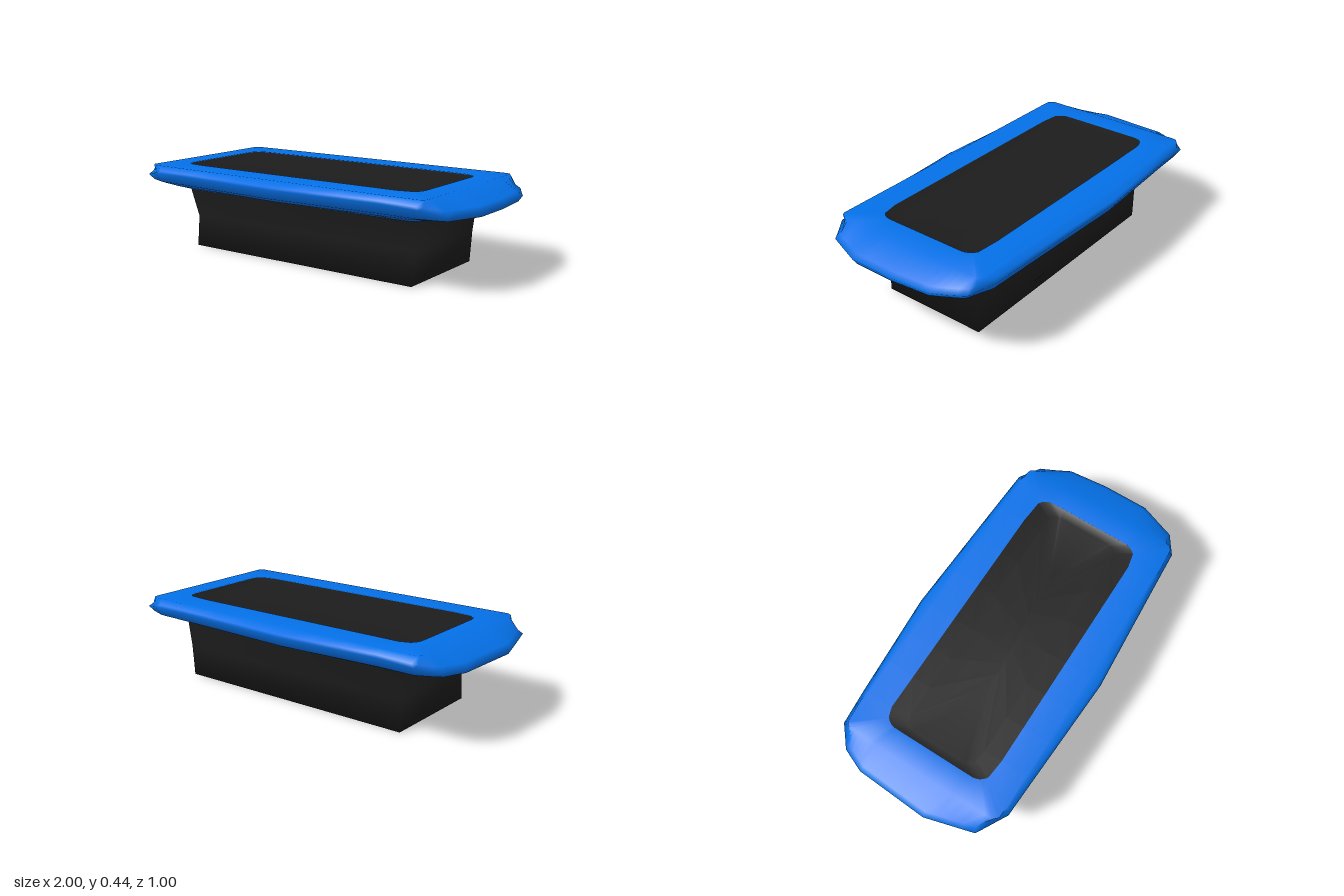
import * as THREE from 'three';

// Skin a stack of closed rings; rings run from the underside outwards and up
function loft(rings) {
  const n = rings[0].length, pos = [], idx = [];
  rings.forEach(r => r.forEach(p => pos.push(...p)));
  for (let k = 0; k < rings.length - 1; k++) {
    for (let i = 0; i < n; i++) {
      const j = (i + 1) % n, a = k * n + i, b = k * n + j;
      idx.push(a, a + n, b, b, a + n, b + n);
    }
  }
  const g = new THREE.BufferGeometry();
  g.setAttribute('position', new THREE.Float32BufferAttribute(pos, 3));
  g.setIndex(idx);
  g.computeVertexNormals();
  return g;
}

// Irregular outer outline (x, z), seen from above
const corners = [
  [-0.83, -0.46], [-0.1, -0.505], [0.78, -0.47], [0.9, -0.41], [0.98, -0.26],
  [1, -0.05], [1, 0.19], [0.93, 0.38], [0.82, 0.45], [0, 0.5],
  [-0.78, 0.46], [-0.93, 0.37], [-1, 0.12], [-0.98, -0.26], [-0.93, -0.38],
];
const STEPS = 4;
const outline = corners.flatMap(([x, z], i) => {
  const [u, v] = corners[(i + 1) % corners.length];
  return Array.from({ length: STEPS }, (_, s) => [x + (u - x) * s / STEPS, z + (v - z) * s / STEPS]);
});

// Rings derived from the outline: scaled, or pulled in to a rounded rectangle
const scaled = (sx, sz, ySide, yEnd) => outline.map(([x, z]) => {
  const t = THREE.MathUtils.smoothstep(Math.abs(x), 0.75, 0.95);
  return [x * sx, ySide + (yEnd - ySide) * t, z * sz];
});
const roundRect = (w, d, r, y) => outline.map(([x, z]) => {
  const cx = THREE.MathUtils.clamp(x, r - w, w - r), cz = THREE.MathUtils.clamp(z, r - d, d - r);
  const l = Math.hypot(x - cx, z - cz) || 1;
  return [cx + (x - cx) / l * r, y, cz + (z - cz) / l * r];
});

export function createModel() {
  const blue = new THREE.MeshStandardMaterial({ color: 0x0470e7 });
  blue.name = 'blue';
  const black = new THREE.MeshStandardMaterial({ color: 0x1c1c1c });
  black.name = 'black';
  const group = new THREE.Group();
  const add = (name, geometry, material) => {
    const mesh = new THREE.Mesh(geometry, material);
    mesh.name = name;
    group.add(mesh);
  };

  // Padded rim: bevelled edge, squarer flat top and a rounded opening
  add('rim', loft([
    roundRect(0.68, 0.28, 0.01, 0.304),
    scaled(0.9, 0.82, 0.335, 0.335),
    scaled(0.985, 0.94, 0.36, 0.348),
    scaled(1, 1, 0.41, 0.375),
    scaled(0.975, 0.97, 0.42, 0.395),
    roundRect(0.84, 0.435, 0.03, 0.445),
    roundRect(0.725, 0.298, 0.08, 0.445),
    roundRect(0.725, 0.298, 0.08, 0.437),
  ]), blue);

  // Shallow, slightly uneven panel inside the opening
  const dip = roundRect(0.68, 0.2, 0.06, 0.427).map(([x, y, z]) => [x, y - 0.008 * x, z]);
  add('innerPanel', loft([
    roundRect(0.727, 0.3, 0.08, 0.442),
    dip,
    outline.map(([x]) => [x * 0.35, 0.425, 0.02 - 0.03 * x]),
    outline.map(() => [0, 0.425, 0.02]),
  ]), black);

  // Pedestal pinched at mid height, closed underneath, rising inside the rim to the panel
  const box = (x0, x1, z0, z1, y) => [[x0, y, z0], [x1, y, z0], [x1, y, z1], [x0, y, z1]];
  add('pedestal', loft([
    box(0.02, 0.02, 0, 0, 0),
    box(-0.655, 0.695, -0.285, 0.285, 0),
    box(-0.655, 0.705, -0.287, 0.27, 0.16),
    box(-0.685, 0.722, -0.294, 0.295, 0.31),
    box(-0.725, 0.725, -0.298, 0.298, 0.435),
  ]), black);

  return group;
}
